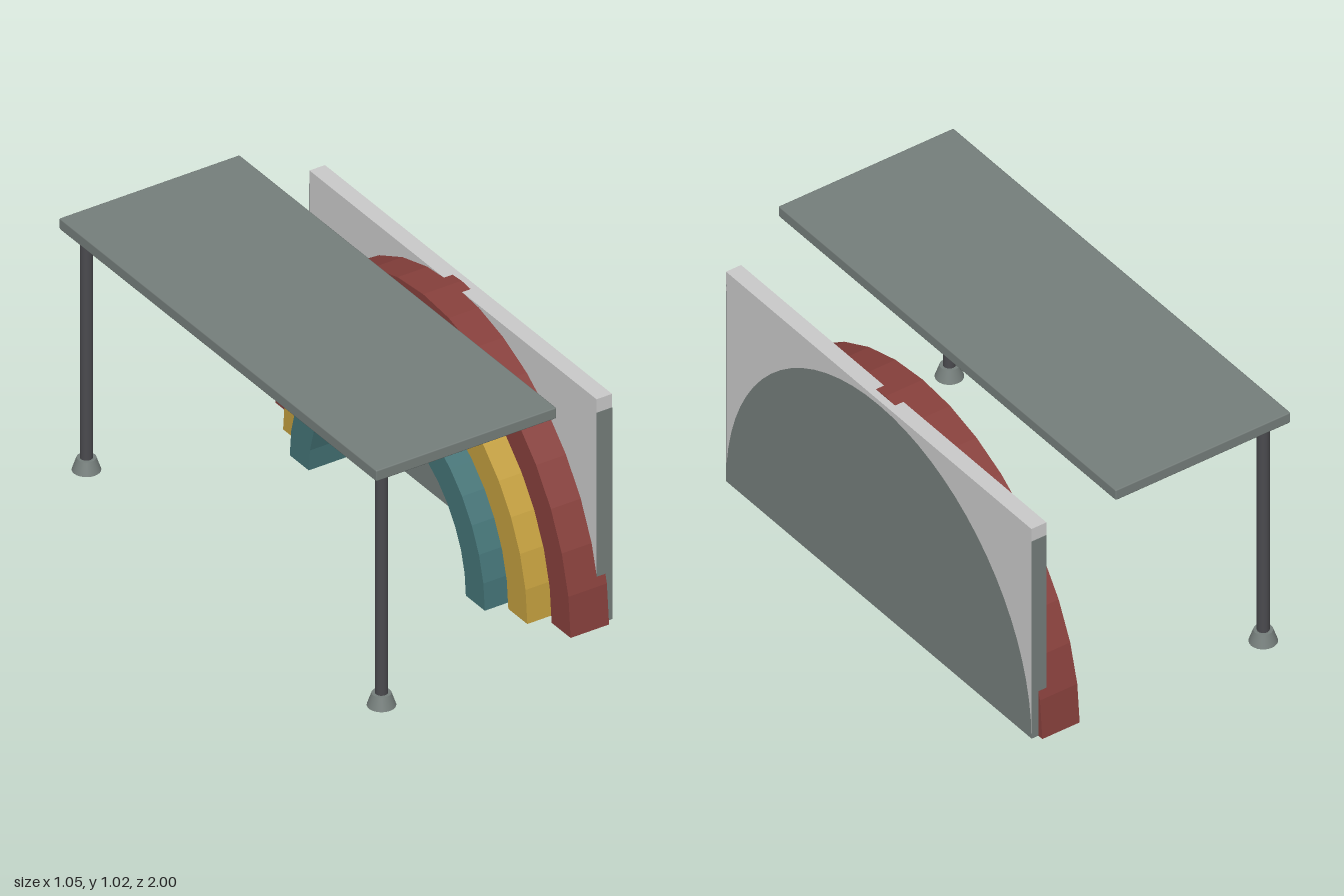
import * as THREE from 'three';
import { RoundedBoxGeometry } from 'three/addons/geometries/RoundedBoxGeometry.js';

const mat = (name, color, flatShading = false) => {
  const m = new THREE.MeshStandardMaterial({ color, flatShading });
  m.name = name;
  return m;
};

export function createModel() {
  const grey = mat('stoneGrey', 0x757e7b);
  const white = mat('paleGrey', 0xcacaca);
  const dark = mat('darkMetal', 0x4a4a4e);
  const red = mat('brickRed', 0x87403c, true);
  const yellow = mat('ochre', 0xc29e3e, true);
  const teal = mat('teal', 0x447376, true);

  const model = new THREE.Group();
  const add = (name, geometry, material, x = 0, y = 0, z = 0) => {
    const mesh = new THREE.Mesh(geometry, material);
    mesh.name = name;
    mesh.position.set(x, y, z);
    model.add(mesh);
    return mesh;
  };

  // half-circle points from +side over the top to -side
  const halfCircle = (r, n) => Array.from({ length: n + 1 }, (_, i) => {
    const a = (i / n) * Math.PI;
    return new THREE.Vector2(r * Math.cos(a), r * Math.sin(a));
  });
  // extrude an upright outline along x, from x0 to x1
  const extrudeX = (points, x0, x1) =>
    new THREE.ExtrudeGeometry(new THREE.Shape(points), { depth: x1 - x0, bevelEnabled: false })
      .rotateY(Math.PI / 2).translate(x0, 0, 0);

  // table top and its two legs with conical feet
  add('tableTop', new RoundedBoxGeometry(0.755, 0.045, 2, 1, 0.005), grey, -0.1475, 0.9975, 0);
  for (const s of [1, -1]) {
    add('tableLeg', new THREE.CylinderGeometry(0.023, 0.023, 0.93, 24), dark, -0.457, 0.512, s * 0.93);
    add('tableFoot', new THREE.CylinderGeometry(0.035, 0.052, 0.05, 24), grey, -0.457, 0.025, s * 0.93);
  }

  // three stepped arches
  const arches = [
    ['innerArch', 0.615, 0.185, teal],
    ['middleArch', 0.77, 0.26, yellow],
    ['outerArch', 0.93, 0.335, red],
  ];
  for (const [name, r, x, material] of arches) {
    const outline = [...halfCircle(r, 18), ...halfCircle(r - 0.12, 18).reverse()];
    add(name, extrudeX(outline, x, x + 0.161), material);
  }

  // backing wall: half disc set in a rectangular surround
  const R = 0.905, H = 0.925, X0 = 0.46, X1 = 0.525;
  const arc = halfCircle(R, 36);
  add('wallHalfDisc', extrudeX(arc, X0, X1), grey);
  const surround = [new THREE.Vector2(R, H), new THREE.Vector2(-R, H), ...arc.slice().reverse()];
  add('wallSurround', extrudeX(surround, X0, X1), white);

  // thin plates on the wall ends
  for (const s of [1, -1]) {
    add('wallEndPlate', new THREE.BoxGeometry(X1 - X0, 0.87, 0.003), grey, (X0 + X1) / 2, 0.435, s * R);
  }
  return model;
}
